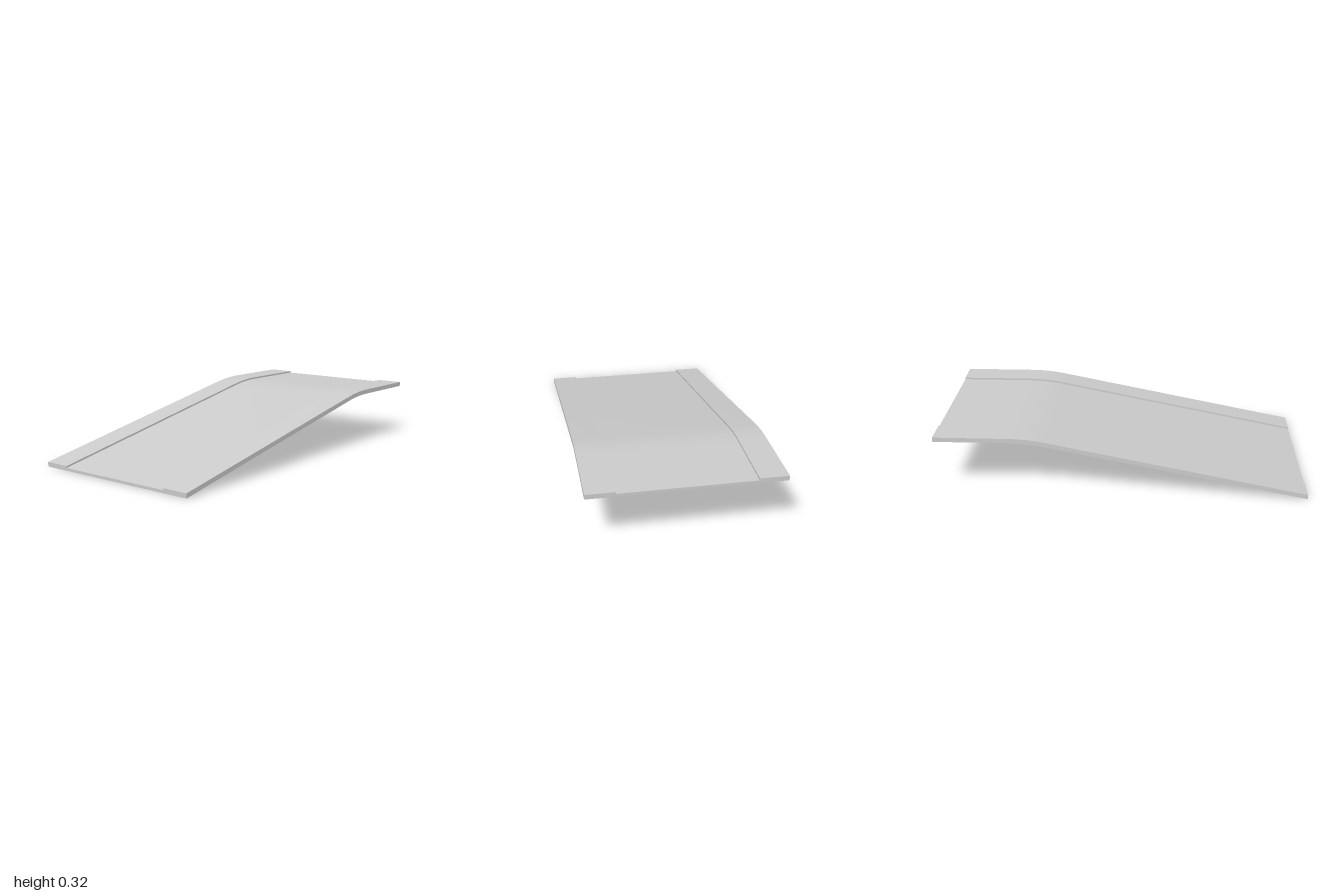
import * as THREE from 'three';
import { toCreasedNormals } from 'three/addons/utils/BufferGeometryUtils.js';

const HALF_WIDTH = 0.5, LANE_HALF = 0.35;
const LANE_THICKNESS = 0.015, CURB_THICKNESS = 0.025;

export function createModel() {
  const group = new THREE.Group();
  group.name = 'roadRamp';

  // Underside path: straight slope, rounded crest, level landing
  const crest = new THREE.QuadraticBezierCurve(
    new THREE.Vector2(0.4, 0.28), new THREE.Vector2(0.5, 0.3), new THREE.Vector2(0.6, 0.3));
  const path = [new THREE.Vector2(-1, 0), ...crest.getPoints(10), new THREE.Vector2(1, 0.3)];
  const steps = path.length - 1;

  // Cross-section: sunken lane between two raised curbs
  const section = new THREE.Shape([
    [-HALF_WIDTH, 0], [HALF_WIDTH, 0],
    [HALF_WIDTH, CURB_THICKNESS], [LANE_HALF, CURB_THICKNESS],
    [LANE_HALF, LANE_THICKNESS], [-LANE_HALF, LANE_THICKNESS],
    [-LANE_HALF, CURB_THICKNESS], [-HALF_WIDTH, CURB_THICKNESS],
  ].map(([x, y]) => new THREE.Vector2(x, y)));

  // Extrude one unit per path point, then move each slice onto the path
  const geometry = new THREE.ExtrudeGeometry(section, { depth: steps, steps, bevelEnabled: false });
  geometry.rotateY(Math.PI / 2);
  const pos = geometry.attributes.position;
  for (let i = 0; i < pos.count; i++) {
    const p = path[Math.round(pos.getX(i))];
    pos.setX(i, p.x);
    pos.setY(i, pos.getY(i) + p.y);
  }

  const deck = new THREE.Mesh(
    toCreasedNormals(geometry, Math.PI / 6),
    new THREE.MeshStandardMaterial({ color: 0xcccccc }));
  deck.name = 'rampDeckWithCurbs';
  group.add(deck);
  return group;
}
